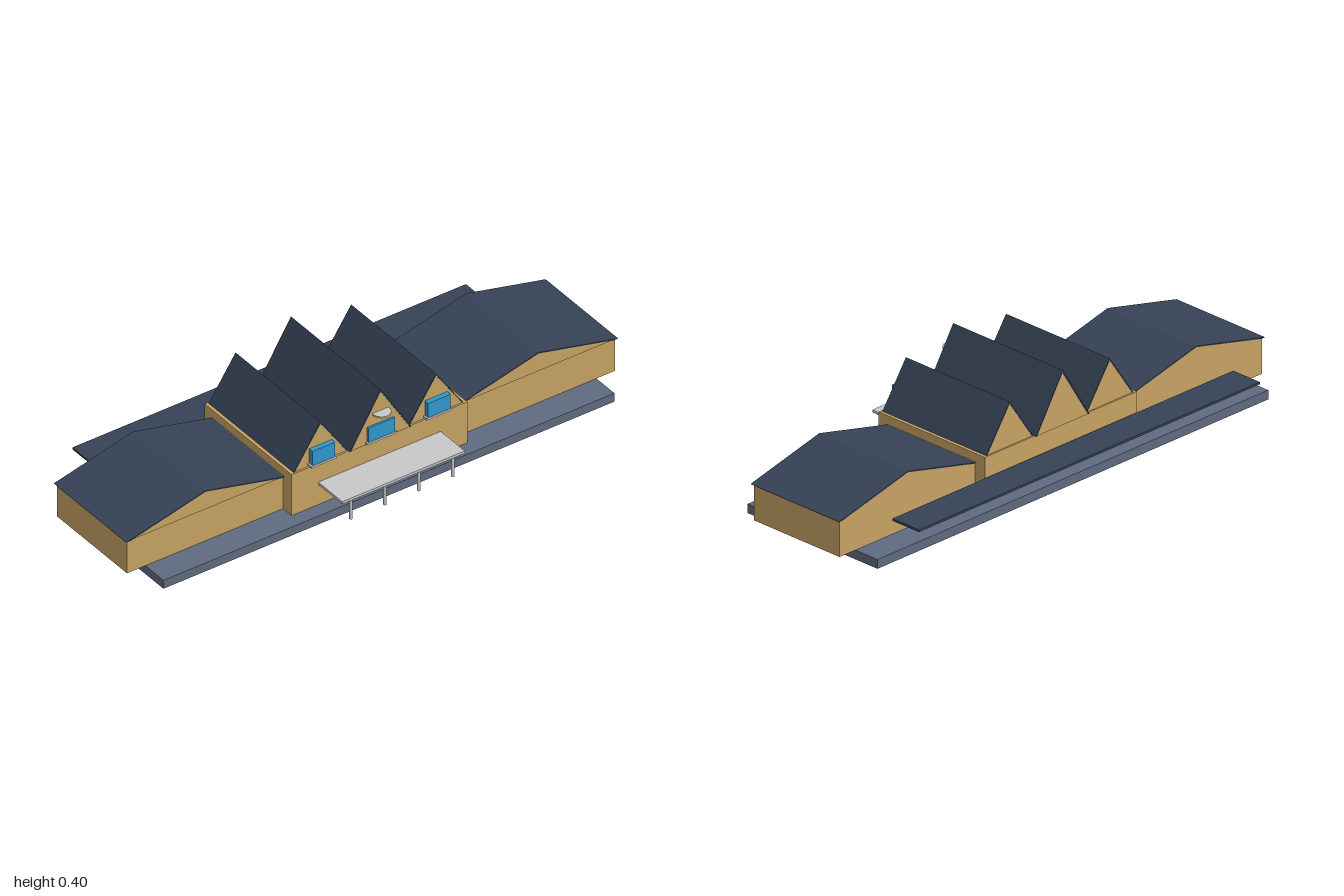
import * as THREE from 'three';

const paint = (name, color) => {
  const m = new THREE.MeshStandardMaterial({ color });
  m.name = name;
  return m;
};

export function createModel() {
  const model = new THREE.Group();
  model.name = 'station';
  const wall = paint('sandstone', 0xc8a464);
  const roof = paint('slate', 0x364256);
  const stone = paint('platformStone', 0x5f6b80);
  const pale = paint('paleGrey', 0xc8c8c8);
  const glass = paint('blueGlass', 0x3099cf);

  const add = (name, geometry, material) => {
    const mesh = new THREE.Mesh(geometry, material);
    mesh.name = name;
    model.add(mesh);
    return mesh;
  };

  // Box given by its limits on each axis
  const box = (name, mat, x0, x1, y0, y1, z0, z1) =>
    add(name, new THREE.BoxGeometry(x1 - x0, y1 - y0, z1 - z0), mat)
      .position.set((x0 + x1) / 2, (y0 + y1) / 2, (z0 + z1) / 2);

  // Outline in x and y, extruded from z0 to z1
  const prism = (name, mat, points, z0, z1) => {
    const shape = new THREE.Shape(points.map(([x, y]) => new THREE.Vector2(x, y)));
    const g = new THREE.ExtrudeGeometry(shape, { depth: z1 - z0, bevelEnabled: false });
    add(name, g.translate(0, 0, z0), mat);
  };

  // Gable wall with a thin folded roof; the ridge runs along z
  const gable = (name, x, half, base, apex, z0, z1, inset) => {
    const t = 0.004 * Math.hypot(half, apex - base) / half;
    const dx = half * t / (apex - base);
    prism(name + 'Gable', wall,
      [[x - half + dx, base], [x + half - dx, base], [x, apex - t]], z0 + inset, z1 - inset);
    prism(name + 'Roof', roof,
      [[x - half, base], [x - half + dx, base], [x, apex - t],
        [x + half - dx, base], [x + half, base], [x, apex]], z0, z1);
  };

  // Platform and central hall
  box('platform', stone, -0.917, 0.917, 0, 0.034, -0.306, 0.3);
  box('hall', wall, -0.357, 0.357, 0.034, 0.2, -0.25, 0.246);
  gable('centre', 0, 0.125, 0.2, 0.402, -0.259, 0.253, 0.002);

  // Side wings and side gables
  for (const s of [-1, 1]) {
    const inner = s * 0.35, outer = s * 0.992;
    box('wing', wall, Math.min(inner, outer), Math.max(inner, outer), 0.034, 0.168, -0.203, 0.197);
    gable('wing', s * 0.677, 0.323, 0.167, 0.244, -0.209, 0.205, 0.003);
    gable('side', s * 0.235, 0.11, 0.2, 0.361, -0.245, 0.24, 0.001);
  }

  // Windows with sills
  for (const x of [-0.235, 0, 0.235]) {
    const w = x === 0 ? 0.054 : 0.046;
    const back = x === 0 ? 0.25 : 0.238;
    box('window', glass, x - w, x + w, 0.212, 0.27, back, 0.258);
    box('windowSill', pale, x - w - 0.006, x + w + 0.006, 0.204, 0.212, back, 0.26);
  }

  // Round disc set into the centre gable
  add('gableDisc', new THREE.CylinderGeometry(0.033, 0.033, 0.006, 24), pale)
    .position.set(0, 0.314, 0.257);

  // Entrance canopy on four posts
  box('entranceCanopy', pale, -0.249, 0.249, 0.115, 0.125, 0.244, 0.383);
  for (const x of [-0.207, -0.069, 0.069, 0.207]) {
    add('canopyPost', new THREE.CylinderGeometry(0.006, 0.006, 0.082, 10), pale)
      .position.set(x, 0.075, 0.373);
  }

  // Long platform canopy at the back
  box('trackCanopy', roof, -0.8, 0.8, 0.121, 0.129, -0.383, -0.259);

  return model;
}
